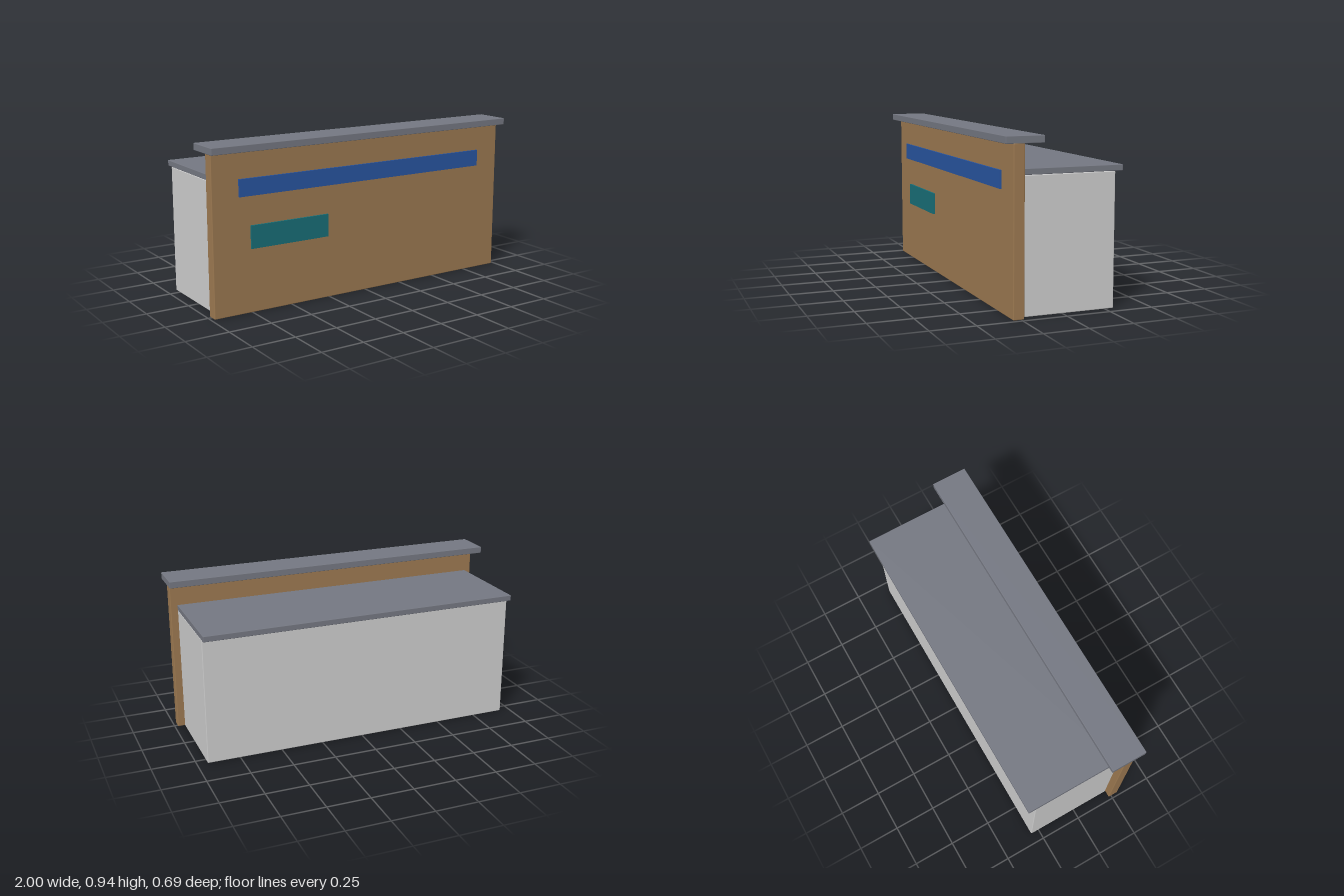
import * as THREE from 'three';
import { RoundedBoxGeometry } from 'three/addons/geometries/RoundedBoxGeometry.js';

const material = (color) => new THREE.MeshStandardMaterial({ color });

// Box given by its [min, max] extents; bevel rounds the edges slightly
function addBox(group, name, mat, [x0, x1], [y0, y1], [z0, z1], bevel = 0) {
  const size = [x1 - x0, y1 - y0, z1 - z0];
  const geometry = bevel
    ? new RoundedBoxGeometry(...size, 2, bevel)
    : new THREE.BoxGeometry(...size);
  const mesh = new THREE.Mesh(geometry, mat);
  mesh.name = name;
  mesh.position.set((x0 + x1) / 2, (y0 + y1) / 2, (z0 + z1) / 2);
  group.add(mesh);
}

export function createModel() {
  const counter = new THREE.Group();
  counter.name = 'serviceCounter';
  const slate = material(0x747781);

  // Cabinet and its work surface, overhanging at the back
  addBox(counter, 'cabinet', material(0xcccccc), [-0.94, 0.94], [0, 0.737], [-0.301, 0.233], 0.005);
  addBox(counter, 'worktop', slate, [-0.941, 0.941], [0.737, 0.77], [-0.344, 0.23], 0.003);

  // Tall wooden front with the raised transaction shelf
  addBox(counter, 'frontPanel', material(0x9b7850), [-0.982, 0.982], [0, 0.903], [0.233, 0.295], 0.005);
  addBox(counter, 'upperShelf', slate, [-1, 1], [0.903, 0.942], [0.133, 0.345], 0.003);

  // Coloured plates on the front
  addBox(counter, 'signStrip', material(0x28549f), [-0.823, 0.823], [0.657, 0.754], [0.29, 0.306]);
  addBox(counter, 'noticePlate', material(0x186e77), [-0.755, -0.265], [0.363, 0.493], [0.29, 0.306]);

  return counter;
}
